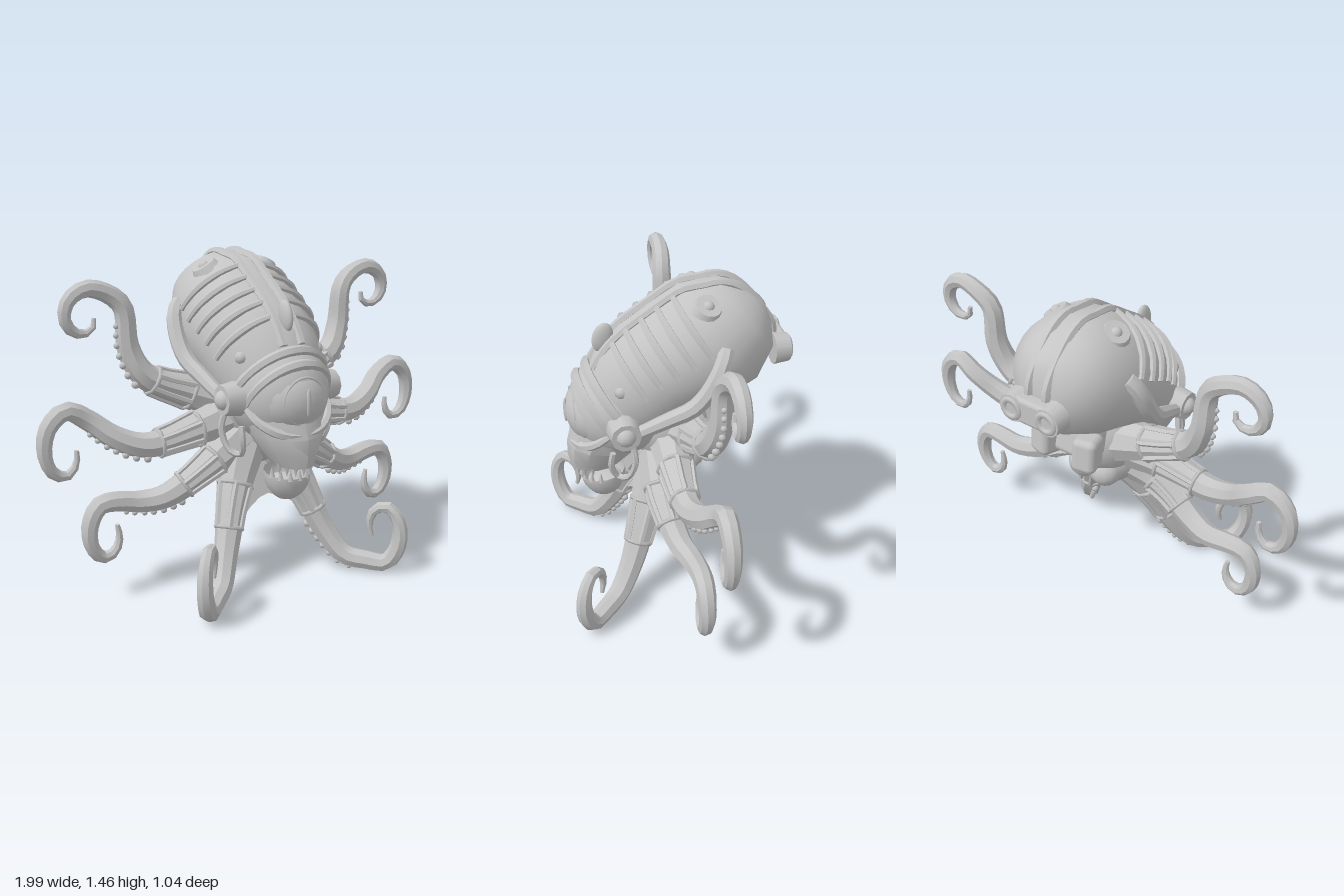
import * as THREE from 'three';
import { toCreasedNormals } from 'three/addons/utils/BufferGeometryUtils.js';
import { RoundedBoxGeometry } from 'three/addons/geometries/RoundedBoxGeometry.js';

const grey = new THREE.MeshStandardMaterial({ color: 0xc4c4c4, side: THREE.DoubleSide });
grey.name = 'plain grey';
const V = (x, y, z) => new THREE.Vector3(x, y, z);

function add(parent, name, geo, pos = [0, 0, 0], rot = [0, 0, 0], scale = [1, 1, 1]) {
  const m = new THREE.Mesh(geo, grey);
  m.name = name;
  m.position.set(...pos);
  m.rotation.set(...rot);
  m.scale.set(...scale);
  parent.add(m);
  return m;
}

// Skin a grid of points; rings are closed and capped when wrap is true
function skin(rows, wrap = true, crease = 0.6) {
  const n = rows[0].length, pos = [], idx = [];
  rows.forEach(r => r.forEach(p => pos.push(p.x, p.y, p.z)));
  for (let i = 0; i < rows.length - 1; i++)
    for (let j = 0; j < (wrap ? n : n - 1); j++) {
      const a = i * n + j, b = i * n + (j + 1) % n;
      idx.push(a, b, a + n, b, b + n, a + n);
    }
  if (wrap) [0, rows.length - 1].forEach((i, end) => {
    const c = rows[i].reduce((s, p) => s.add(p), V(0, 0, 0)).divideScalar(n);
    const k = pos.length / 3;
    pos.push(c.x, c.y, c.z);
    for (let j = 0; j < n; j++) {
      const a = i * n + j, b = i * n + (j + 1) % n;
      end ? idx.push(k, a, b) : idx.push(k, b, a);
    }
  });
  const g = new THREE.BufferGeometry();
  g.setAttribute('position', new THREE.Float32BufferAttribute(pos, 3));
  g.setIndex(idx);
  return toCreasedNormals(g, crease);
}

// Value at t (0..1) along an evenly spaced list
function along(list, t) {
  const f = t * (list.length - 1), i = Math.min(Math.floor(f), list.length - 2);
  return list[i] + (list[i + 1] - list[i]) * (f - i);
}

// Tapered tube along a curve
function tube(curve, radii, steps, sides) {
  const { normals, binormals } = curve.computeFrenetFrames(steps);
  const rows = [];
  for (let i = 0; i <= steps; i++) {
    const c = curve.getPointAt(i / steps), r = along(radii, i / steps);
    rows.push(Array.from({ length: sides }, (_, j) => {
      const a = j / sides * Math.PI * 2;
      return c.clone().addScaledVector(normals[i], r * Math.cos(a)).addScaledVector(binormals[i], r * Math.sin(a));
    }));
  }
  return skin(rows);
}
const through = points => new THREE.CatmullRomCurve3(points.map(p => V(...p)));
const sweep = (points, radii, steps, sides) => tube(through(points), radii, steps, sides);

// Mantle sections along its tilted axis: [u, top, bottom, halfWidth]
const SECTIONS = [[-0.33, 0, -0.04, 0.02], [-0.305, 0.1, -0.11, 0.12], [-0.24, 0.2, -0.21, 0.205],
  [-0.1, 0.283, -0.275, 0.268], [0.05, 0.3, -0.25, 0.28], [0.2, 0.31, -0.2, 0.27],
  [0.35, 0.295, -0.2, 0.245], [0.46, 0.24, -0.18, 0.2]];
function section(u) {
  let i = 0;
  while (i < SECTIONS.length - 2 && u > SECTIONS[i + 1][0]) i++;
  const a = SECTIONS[i], b = SECTIONS[i + 1], t = (u - a[0]) / (b[0] - a[0]);
  return a.map((v, k) => v + (b[k] - v) * t);
}
function onMantle(u, angle, lift = 0) {
  const [, top, bot, w] = section(u);
  const v = (top + bot) / 2 + ((top - bot) / 2 + lift) * Math.cos(angle);
  return [(w + lift) * Math.sin(angle), 1.17 - 0.62 * u + 0.78 * v, -0.15 + 0.78 * u + 0.62 * v];
}

// A tentacle runs through its arm points, then winds into a shrinking curl.
// heading turns the curl plane; start and turn are in degrees
function tentaclePath(arm, { centre, heading = 0, start, turn, from, to, tall }) {
  const curl = Array.from({ length: 8 }, (_, i) => {
    const t = i / 7, a = (start + turn * t) * Math.PI / 180, r = from + (to - from) * t;
    const h = r * Math.cos(a);
    return [centre[0] + h * Math.cos(heading), centre[1] + r * tall * Math.sin(a), centre[2] + h * Math.sin(heading)];
  });
  return [...arm, ...curl];
}
const ARM_RADII = [0.11, 0.082, 0.064, 0.054, 0.047, 0.041, 0.035, 0.026, 0.01];

// Left tentacles from top to front, and the side that carries the suckers
const topPath = tentaclePath([[0.1, 0.82, -0.05], [0.3, 0.89, -0.07], [0.49, 0.98, -0.08], [0.55, 1.1, -0.1], [0.57, 1.28, -0.1]],
  { centre: [0.73, 1.245, -0.11], start: 135, turn: -310, from: 0.135, to: 0.035, tall: 1 });
const upperPath = tentaclePath([[0.1, 0.77, 0], [0.3, 0.735, 0.02], [0.54, 0.7, 0.02], [0.67, 0.75, -0.01]],
  { centre: [0.868, 0.705, -0.05], start: 140, turn: -320, from: 0.13, to: 0.045, tall: 1.5 });
const lowerPath = tentaclePath([[0.08, 0.68, 0.04], [0.26, 0.58, 0.07], [0.46, 0.46, 0.04], [0.56, 0.445, 0.01]],
  { centre: [0.722, 0.325, 0], start: 115, turn: -320, from: 0.1, to: 0.05, tall: 1.55 });
const frontPath = tentaclePath([[0.07, 0.65, 0.05], [0.17, 0.45, 0.13], [0.265, 0.21, 0.22], [0.33, 0.095, 0.295]],
  { centre: [0.445, 0.235, 0.41], heading: 0.79, start: -120, turn: 330, from: 0.115, to: 0.045, tall: 1.6 });
const TENTACLES = [[topPath, V(1, -0.3, 0.1)], [upperPath, V(0.7, -0.8, 0.1)],
  [lowerPath, V(0.3, -1, 0.1)], [frontPath, V(0, -1, 0.1)]];

function tentacle(parent, path, suckerSide) {
  const g = new THREE.Group();
  g.name = 'tentacle';
  parent.add(g);
  const c = through(path);
  add(g, 'arm', tube(c, ARM_RADII, 34, 8));
  // Collars around the upper arm
  for (const k of [0.15, 0.29]) {
    const m = add(g, 'collar', new THREE.TorusGeometry(along(ARM_RADII, k), 0.01, 5, 10), c.getPointAt(k).toArray());
    m.quaternion.setFromUnitVectors(V(0, 0, 1), c.getTangentAt(k));
  }
  // Rods lying along the upper arm
  for (let j = 0; j < 6; j++) {
    const pts = [0.15, 0.2, 0.25, 0.29].map(k => {
      const d = c.getTangentAt(k), n = V(0, 0, 1).projectOnPlane(d).normalize();
      n.applyAxisAngle(d, j * Math.PI / 3 + 0.5);
      return c.getPointAt(k).addScaledVector(n, along(ARM_RADII, k) - 0.002).toArray();
    });
    add(g, 'armRod', sweep(pts, [0.013, 0.013], 3, 5));
  }
  // Suckers shrinking toward the tip
  for (let j = 0; j < 7; j++) {
    const k = 0.33 + j * 0.03, n = suckerSide.clone().projectOnPlane(c.getTangentAt(k)).normalize();
    add(g, 'sucker', new THREE.SphereGeometry(0.018 - j * 0.001, 7, 5),
      c.getPointAt(k).addScaledVector(n, along(ARM_RADII, k)).toArray());
  }
}

// Skin stretched between two arms, with a concave free edge
function web(ca, cb, reach, sag) {
  const rows = Array.from({ length: 7 }, (_, i) => Array.from({ length: 9 }, (_, j) => {
    const s = j / 8, k = i / 6 * reach * (1 - sag * s * (1 - s));
    return ca.getPointAt(k).lerp(cb.getPointAt(k), s);
  }));
  return skin(rows, false, 1);
}

export function createModel() {
  const model = new THREE.Group();
  model.name = 'armouredOctopus';
  const ball = new THREE.SphereGeometry(1, 24, 16);

  // Mantle, head and lower body
  const us = [-0.33, -0.32, -0.305, -0.275, -0.24, -0.17, -0.1, 0.05, 0.2, 0.35, 0.46];
  add(model, 'mantle', skin(us.map(u => Array.from({ length: 24 }, (_, j) => V(...onMantle(u, j / 12 * Math.PI)))), true, 0.9));
  add(model, 'head', ball, [0, 0.92, 0.21], [0, 0, 0], [0.225, 0.235, 0.23]);
  add(model, 'neck', ball, [0, 0.83, 0], [0.3, 0, 0], [0.2, 0.22, 0.2]);
  add(model, 'lowerBody', ball, [0, 0.68, 0.01], [0, 0, 0], [0.17, 0.15, 0.16]);

  // Single large eye with slit, lids and brow
  add(model, 'eye', ball, [0, 0.905, 0.28], [0, 0, 0], [0.18, 0.165, 0.177]);
  add(model, 'iris', new THREE.TorusGeometry(0.1, 0.006, 5, 24), [0, 0.91, 0.42]);
  add(model, 'pupil', ball, [0, 0.91, 0.452], [0, 0, 0], [0.012, 0.06, 0.009]);
  const arch = (y0, y1, z0, z1, w) => Array.from({ length: 9 }, (_, i) => {
    const a = i / 8 * Math.PI;
    return [w * Math.cos(a), y0 + (y1 - y0) * Math.sin(a), z0 + (z1 - z0) * Math.sin(a)];
  });
  add(model, 'upperLid', sweep(arch(0.88, 1.06, 0.28, 0.395, 0.2), [0.018, 0.024, 0.018], 18, 6));
  add(model, 'lowerLid', sweep(arch(0.88, 0.76, 0.28, 0.42, 0.2), [0.016, 0.026, 0.016], 18, 6));
  add(model, 'brow', sweep(arch(0.92, 1.11, 0.22, 0.35, 0.22), [0.02, 0.024, 0.02], 18, 6));

  // Snout, with teeth over a scoop jaw: [y, half width, back z, front z]
  const snout = [[0.84, 0.19, 0.1, 0.42], [0.75, 0.165, 0.12, 0.455], [0.68, 0.125, 0.16, 0.455], [0.62, 0.085, 0.22, 0.445]];
  add(model, 'snout', skin(snout.map(([y, w, b, f]) => Array.from({ length: 12 }, (_, j) => {
    const a = j / 6 * Math.PI;
    return V(w * Math.cos(a), y, (b + f) / 2 + (f - b) / 2 * Math.sin(a));
  }))));
  const jaw = new THREE.SphereGeometry(1, 14, 7, 0, Math.PI * 2, Math.PI / 2, Math.PI / 2);
  add(model, 'jaw', jaw, [0, 0.575, 0.3], [0.1, 0, 0], [0.105, 0.135, 0.105]);
  add(model, 'jawFloor', ball, [0, 0.52, 0.29], [0.1, 0, 0], [0.08, 0.025, 0.08]);
  for (let i = 0; i < 7; i++) {
    const a = (i + 0.5) / 7 * Math.PI, x = Math.cos(a), z = Math.sin(a);
    add(model, 'upperTooth', new THREE.ConeGeometry(0.015, 0.06, 5), [0.08 * x, 0.61, 0.335 + 0.09 * z], [Math.PI, 0, 0]);
    add(model, 'lowerTooth', new THREE.ConeGeometry(0.014, 0.05, 5), [0.095 * x, 0.59 - 0.01 * z, 0.3 + 0.095 * z]);
  }

  // Crest, back port and module under the back
  add(model, 'crest', ball, [0, 1.245, 0.275], [-0.25, 0, 0], [0.022, 0.068, 0.045]);
  add(model, 'portBar', new RoundedBoxGeometry(0.2, 0.12, 0.07, 2, 0.02), [0, 1.16, -0.485]);
  add(model, 'rearBlock', new RoundedBoxGeometry(0.24, 0.15, 0.14, 2, 0.03), [0, 0.89, -0.22], [0.2, 0, 0]);

  const half = new THREE.Group();
  half.name = 'leftHalf';

  // Spine strip running over the mantle to the port
  const lean = u => Math.asin(0.045 / section(u)[3]);
  const strip = [0.4, 0.3, 0.2, 0.05, -0.1, -0.18, -0.24, -0.29].map(u => onMantle(u, lean(u)));
  strip.push(...[-0.3, -0.26, -0.22].map(u => onMantle(u, Math.PI - lean(u))));
  add(half, 'spineStrip', sweep(strip, [0.02, 0.02], 28, 6));

  // Ribs across the mantle
  for (let i = 0; i < 5; i++) {
    const pts = [0.2, 0.5, 0.8, 1.1, 1.4].map(a => onMantle(-0.06 + i * 0.08 + 0.02 * a, a, 0.004));
    add(half, 'rib', sweep(pts, [0.013, 0.018, 0.013], 10, 6));
  }

  // Round boss sunk into the crown
  const out = V(0.5, 0.85, -0.15).normalize(), boss = V(...onMantle(-0.15, 0.68)).addScaledVector(out, -0.012);
  add(half, 'crownBoss', new THREE.CylinderGeometry(0.055, 0.075, 0.04, 14), boss.toArray()).quaternion.setFromUnitVectors(V(0, 1, 0), out);
  add(half, 'bossKnob', new THREE.SphereGeometry(0.026, 10, 8), boss.addScaledVector(out, 0.01).toArray());

  // Side pipe from the ear round the mantle
  add(half, 'sidePipe', sweep([[0.25, 0.9, 0.19], [0.275, 0.97, 0.05], [0.295, 1.03, -0.06], [0.3, 1.12, -0.13], [0.285, 1.22, -0.18], [0.25, 1.26, -0.2]],
    [0.028, 0.034, 0.038, 0.04, 0.036], 14, 8));

  // Ear pod with hanging loop
  add(half, 'earPod', new THREE.CylinderGeometry(0.065, 0.078, 0.09, 10), [0.24, 0.91, 0.23], [0, 0, -Math.PI / 2]);
  add(half, 'earKnob', new THREE.SphereGeometry(0.045, 10, 8), [0.27, 0.91, 0.23]);
  add(half, 'earLoop', sweep([[0.25, 0.86, 0.2], [0.265, 0.77, 0.19], [0.24, 0.68, 0.22], [0.21, 0.67, 0.26], [0.22, 0.74, 0.29], [0.22, 0.8, 0.28]],
    [0.014, 0.014], 14, 6));
  add(half, 'templeBolt', new THREE.SphereGeometry(0.03, 8, 6), [0.19, 1.08, 0.23]);

  // Port eyelet, rear block and belly knob
  add(half, 'portEnd', new THREE.CylinderGeometry(0.062, 0.07, 0.07, 12), [0.09, 1.16, -0.485], [-Math.PI / 2, 0, 0]);
  add(half, 'portRing', new THREE.TorusGeometry(0.04, 0.017, 6, 14), [0.09, 1.16, -0.515]);
  add(half, 'rearSideBlock', new RoundedBoxGeometry(0.11, 0.16, 0.12, 2, 0.03), [0.11, 0.885, -0.285], [0.1, -0.25, 0]);
  add(half, 'bellyKnob', new THREE.SphereGeometry(0.075, 12, 9), [0.06, 0.645, -0.09]);

  // Tentacles and the webs between them
  TENTACLES.forEach(([path, side]) => tentacle(half, path, side));
  const curves = TENTACLES.map(([path]) => through(path));
  for (let i = 0; i < 3; i++) add(half, 'web', web(curves[i], curves[i + 1], 0.24, 1.8));
  model.add(half);

  // Right half mirrors the left
  const right = half.clone();
  right.name = 'rightHalf';
  right.scale.x = -1;
  model.add(right);

  // Webs that cross the middle, front and rear
  const flip = path => through(path.map(([x, y, z]) => [-x, y, z]));
  add(model, 'frontWeb', web(curves[3], flip(frontPath), 0.34, 1.6));
  add(model, 'rearWeb', web(curves[0], flip(topPath), 0.18, 2.1));
  return model;
}
